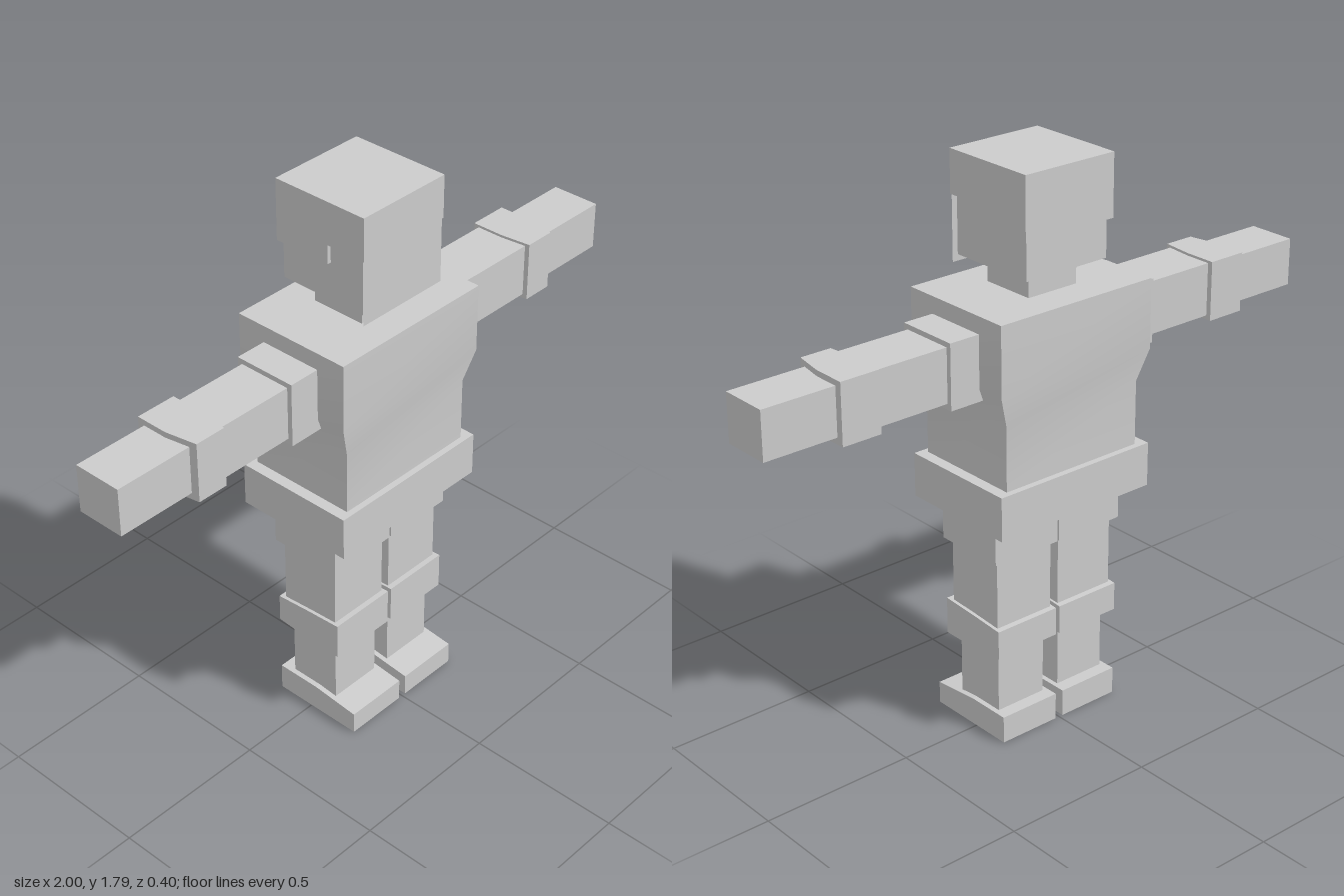
import * as THREE from 'three';

const material = new THREE.MeshStandardMaterial({ color: 0xcccccc });
const sheetMaterial = new THREE.MeshStandardMaterial({ color: 0xcccccc, side: THREE.DoubleSide });

function add(parent, name, geometry, mat = material) {
  const mesh = new THREE.Mesh(geometry, mat);
  mesh.name = name;
  parent.add(mesh);
  return mesh;
}

// Box given by its limits along each axis
function box(x0, x1, y0, y1, z0, z1) {
  return new THREE.BoxGeometry(Math.abs(x1 - x0), y1 - y0, z1 - z0)
    .translate((x0 + x1) / 2, (y0 + y1) / 2, (z0 + z1) / 2);
}

function extrude(points, depth) {
  const shape = new THREE.Shape(points.map(([a, b]) => new THREE.Vector2(a, b)));
  return new THREE.ExtrudeGeometry(shape, { depth, bevelEnabled: false });
}

// Side profile of [z, y] points, running across x
function sideProfile(points, x0, x1) {
  return extrude(points, Math.abs(x1 - x0)).rotateY(-Math.PI / 2).translate(Math.max(x0, x1), 0, 0);
}

// Plan of [x, z] points, running up y
function plan(points, y0, y1) {
  return extrude(points, y1 - y0).rotateX(Math.PI / 2).translate(0, y1, 0);
}

// Chest tapering to the waist, with smooth shading down each side
function torsoGeometry() {
  const rows = [[0.87, 0.25, 0.18], [1.08, 0.25, 0.18], [1.18, 0.284, 0.2], [1.4, 0.284, 0.2]];
  const geometry = new THREE.BoxGeometry(2, 3, 2, 1, 3, 1);
  const p = geometry.attributes.position;
  for (let i = 0; i < p.count; i++) {
    const [y, w, d] = rows[Math.round(p.getY(i) + 1.5)];
    p.setXYZ(i, Math.sign(p.getX(i)) * w, y, Math.sign(p.getZ(i)) * d);
  }
  geometry.computeVertexNormals();
  return geometry;
}

function createHead() {
  const head = new THREE.Group();
  head.name = 'head';
  add(head, 'neck', box(-0.09, 0.09, 1.39, 1.49, -0.09, 0.09));
  add(head, 'skull', box(-0.15, 0.15, 1.48, 1.7, -0.15, 0.15));
  // Cap, cut higher at the front
  add(head, 'cap', sideProfile([
    [0.164, 1.795], [0.164, 1.66], [0.03, 1.66], [0.03, 1.6], [-0.163, 1.6], [-0.163, 1.795],
  ], -0.163, 0.163));
  // Thin sheet hanging over the face
  add(head, 'faceSheet', new THREE.PlaneGeometry(0.32, 0.205).translate(0, 1.5575, 0.161), sheetMaterial);
  return head;
}

function createArm(s) {
  const arm = new THREE.Group();
  arm.name = s > 0 ? 'leftArm' : 'rightArm';
  add(arm, 'shoulder', box(s * 0.26, s * 0.386, 1.142, 1.346, -0.104, 0.102));
  add(arm, 'upperArm', box(s * 0.38, s * 0.66, 1.16, 1.33, -0.088, 0.086));
  // Elbow narrows towards the front
  add(arm, 'elbow', plan([
    [0.76, -0.105], [0.76, 0], [0.742, 0.101], [0.641, 0.101], [0.63, 0], [0.63, -0.105],
  ].map(([x, z]) => [s * x, z]), 1.147, 1.338));
  add(arm, 'forearm', box(s * 0.72, s, 1.168, 1.32, -0.082, 0.077));
  return arm;
}

function createLeg(s) {
  const leg = new THREE.Group();
  leg.name = s > 0 ? 'leftLeg' : 'rightLeg';
  add(leg, 'hipCuff', box(s * 0.003, s * 0.243, 0.61, 0.745, -0.12, 0.124));
  add(leg, 'thigh', box(s * 0.015, s * 0.223, 0.37, 0.63, -0.102, 0.104));
  // Knee slants inwards at the back
  add(leg, 'knee', sideProfile([
    [0.123, 0.4], [0, 0.393], [-0.12, 0.384], [-0.12, 0.292], [0, 0.28], [0.123, 0.28],
  ], s * 0.007, s * 0.234));
  add(leg, 'shin', box(s * 0.03, s * 0.207, 0.07, 0.3, -0.086, 0.089));
  // Foot with a sloping toe
  add(leg, 'foot', sideProfile([
    [0.181, 0], [0.181, 0.072], [0.02, 0.088], [-0.129, 0.088], [-0.129, 0],
  ], s * 0.014, s * 0.224));
  return leg;
}

export function createModel() {
  const model = new THREE.Group();
  model.name = 'blockFigure';
  add(model, 'torso', torsoGeometry());
  add(model, 'hips', box(-0.286, 0.286, 0.735, 0.875, -0.2, 0.2));
  model.add(createHead());
  for (const s of [1, -1]) model.add(createArm(s), createLeg(s));
  return model;
}
